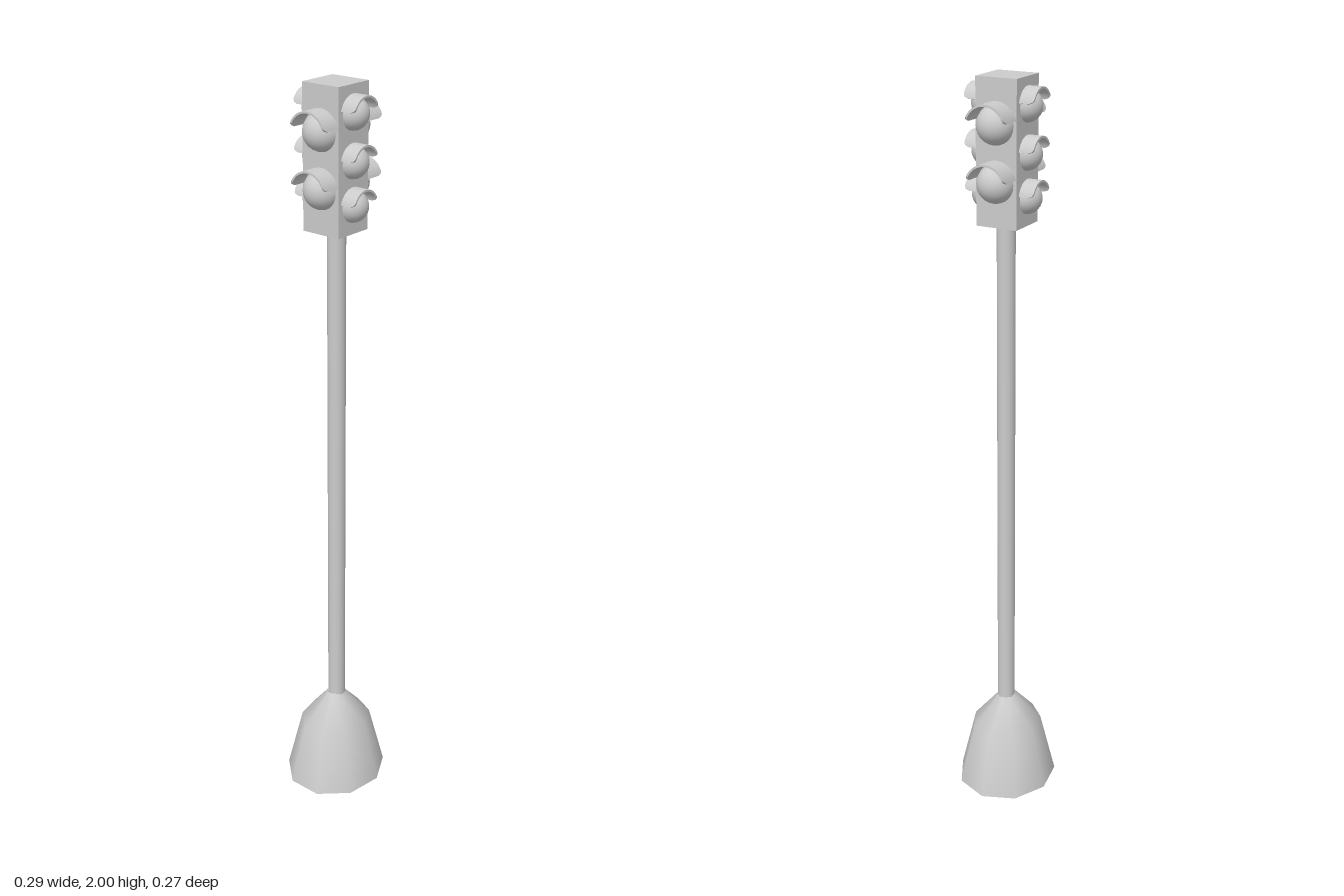
import * as THREE from 'three';

const grey = new THREE.MeshStandardMaterial({ color: 0xcccccc });

function add(parent, name, geometry, x = 0, y = 0, z = 0) {
  const mesh = new THREE.Mesh(geometry, grey);
  mesh.name = name;
  mesh.position.set(x, y, z);
  parent.add(mesh);
  return mesh;
}

// Curved hood: a thin slab bent over an arc, its outer corners rounded off
function visorGeometry(radius, depth) {
  const geo = new THREE.BoxGeometry(2, 0.005, 1, 32, 1, 1);
  const pos = geo.attributes.position;
  const halfArc = THREE.MathUtils.degToRad(76);
  const corner = 0.014;
  for (let i = 0; i < pos.count; i++) {
    const u = pos.getX(i);
    const angle = u * halfArc;
    const r = radius - 0.0025 + pos.getY(i);
    const fromEnd = (1 - Math.abs(u)) * halfArc * radius;
    const k = Math.max(0, 1 - fromEnd / corner);
    const reach = depth - corner * (1 - Math.sqrt(1 - k * k));
    pos.setXYZ(i, Math.sin(angle) * r, Math.cos(angle) * r, pos.getZ(i) > 0 ? reach : -0.008);
  }
  geo.computeVertexNormals();
  return geo;
}

// One face of the signal: a column of domed lamps, each under a visor
function signalFace(name, heights, lampRadius, visorRadius, visorDepth) {
  const face = new THREE.Group();
  face.name = name;
  const dome = new THREE.SphereGeometry(lampRadius, 24, 10, 0, Math.PI * 2, 0, Math.PI / 2);
  dome.rotateX(Math.PI / 2);
  const visor = visorGeometry(visorRadius, visorDepth);
  for (const y of heights) {
    add(face, 'lamp', dome, 0, y, 0);
    add(face, 'visor', visor, 0, y, 0);
  }
  return face;
}

export function createModel() {
  const model = new THREE.Group();
  model.name = 'trafficLight';
  const cx = -0.004;

  // Nine-sided foot, slightly wider than deep, with a sloping shoulder
  const foot = new THREE.Group();
  foot.name = 'foot';
  foot.position.set(cx, 0, -0.001);
  foot.scale.set(0.15, 1, 0.137);
  model.add(foot);
  const profile = [[1, 0], [0.69, 0.18], [0.16, 0.268]].map(p => new THREE.Vector2(...p));
  add(foot, 'footShell', new THREE.LatheGeometry(profile, 9, Math.PI / 2));
  add(foot, 'footUnderside', new THREE.CircleGeometry(1, 9).rotateX(Math.PI / 2));

  // Pole
  add(model, 'pole', new THREE.CylinderGeometry(0.024, 0.024, 1.4, 16), -0.001, 0.95, 0);

  // Housing
  add(model, 'housing', new THREE.BoxGeometry(0.112, 0.362, 0.112), cx, 1.819, -0.001);

  // Three lamps on the front and back, two larger lamps on each side
  const three = [1.931, 1.815, 1.708];
  const two = [1.889, 1.748];
  for (const s of [1, -1]) {
    const end = signalFace(s > 0 ? 'frontLamps' : 'backLamps', three, 0.04, 0.047, 0.042);
    end.position.set(cx - 0.001, 0, s * 0.054);
    end.rotation.y = s > 0 ? 0 : Math.PI;
    model.add(end);

    const side = signalFace(s > 0 ? 'leftLamps' : 'rightLamps', two, 0.048, 0.056, 0.057);
    side.position.set(s * 0.053, 0, -0.001);
    side.rotation.y = s * Math.PI / 2;
    model.add(side);
  }
  return model;
}
